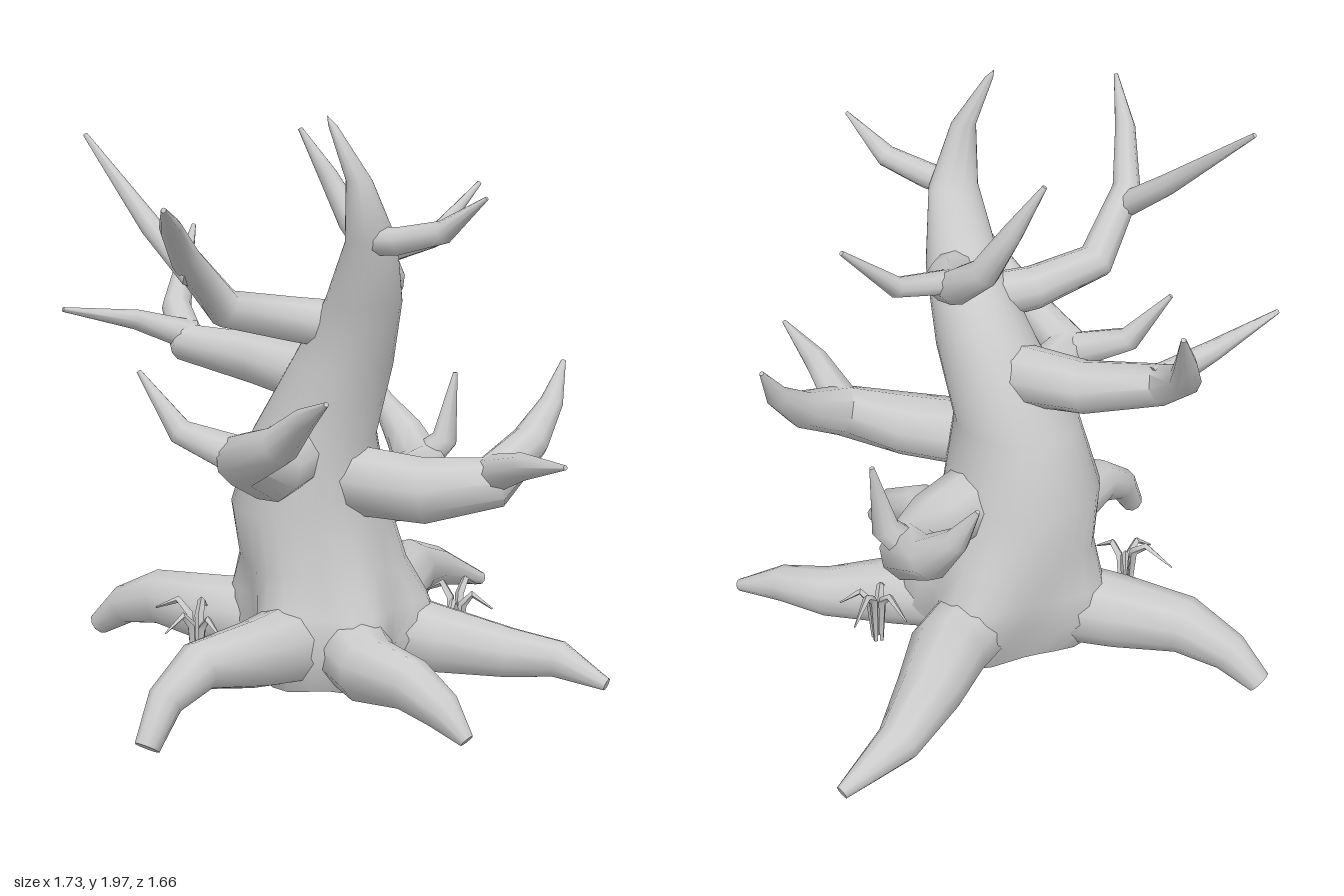
import * as THREE from 'three';
import { toCreasedNormals } from 'three/addons/utils/BufferGeometryUtils.js';

const material = new THREE.MeshStandardMaterial({ color: 0xcccccc, side: THREE.DoubleSide });
const V = (x, y, z) => new THREE.Vector3(x, y, z);

// Skin a row of equal-sized rings and close both ends on the given centres
function loft(rings, startCentre, endCentre) {
  const n = rings[0].length, pos = [], idx = [];
  rings.flat().forEach(p => pos.push(p.x, p.y, p.z));
  const last = (rings.length - 1) * n, c0 = rings.length * n;
  [startCentre, endCentre].forEach(p => pos.push(p.x, p.y, p.z));
  for (let j = 0; j < n; j++) {
    const k = (j + 1) % n;
    for (let i = 0; i < last; i += n) {
      idx.push(i + j, i + k, i + n + k, i + j, i + n + k, i + n + j);
    }
    idx.push(c0, k, j, c0 + 1, last + j, last + k);
  }
  const g = new THREE.BufferGeometry();
  g.setAttribute('position', new THREE.Float32BufferAttribute(pos, 3));
  g.setIndex(idx);
  return toCreasedNormals(g, 1.05);
}

// Tapered limb along rows of [x, y, z, radius], rings square to the path
function limb(name, rows, sides = 9) {
  const pts = rows.map(r => V(r[0], r[1], r[2]));
  const u = V(0, 1, 0), v = V(0, 0, 0);
  const rings = pts.map((p, i) => {
    const before = pts[Math.max(i - 1, 0)], after = pts[Math.min(i + 1, pts.length - 1)];
    const t = after.clone().sub(p).normalize().add(p.clone().sub(before).normalize()).normalize();
    u.addScaledVector(t, -u.dot(t)).normalize();
    v.crossVectors(t, u);
    return Array.from({ length: sides }, (_, j) => {
      const a = (j / sides) * Math.PI * 2;
      return p.clone().addScaledVector(u, rows[i][3] * Math.cos(a)).addScaledVector(v, rows[i][3] * Math.sin(a));
    });
  });
  const mesh = new THREE.Mesh(loft(rings, pts[0], pts[pts.length - 1]), material);
  mesh.name = name;
  return mesh;
}

// Leaning trunk from level oval sections [y, centre x, centre z, half width, half depth, flare];
// the flare pushes the wall out towards each root, the first section hollows the underside
function trunk() {
  const sections = [
    [0.14, 0, -0.05, 0.13, 0.13, 0],
    [0.06, 0, -0.05, 0.23, 0.23, 0.09], [0.2, 0, -0.06, 0.255, 0.265, 0.15], [0.32, 0, -0.07, 0.265, 0.28, 0.09],
    [0.45, -0.02, -0.07, 0.27, 0.28, 0.025],
    [0.65, -0.06, -0.07, 0.27, 0.275, 0], [0.9, -0.05, -0.04, 0.21, 0.235, 0], [1.15, 0.03, 0.03, 0.17, 0.195, 0],
    [1.38, 0.07, 0.16, 0.125, 0.155, 0], [1.6, 0.05, 0.335, 0.085, 0.06, 0],
    [1.8, 0, 0.375, 0.042, 0.042, 0], [1.97, -0.075, 0.33, 0.014, 0.014, 0]
  ];
  const rootAngles = [-0.72, 0.1, 1.2, 2.36, -2.22];
  const sides = 28;
  const rings = sections.map(([y, cx, cz, rx, rz, flare]) => Array.from({ length: sides }, (_, j) => {
    const a = (j / sides) * Math.PI * 2;
    const push = flare * Math.max(...rootAngles.map(r => Math.exp((Math.cos(a - r) - 1) * 10)));
    return V(cx + (rx + push) * Math.sin(a), y, cz + (rz + push) * Math.cos(a));
  }));
  const mesh = new THREE.Mesh(loft(rings, V(0, 0.16, -0.05), V(-0.09, 2, 0.32)), material);
  mesh.name = 'trunk';
  return mesh;
}

const branches = {
  lowerLeftFrontBranch: [
    [[0.05, 0.76, 0.1, 0.12], [0.26, 0.75, 0.26, 0.112], [0.46, 0.79, 0.35, 0.09], [0.63, 0.89, 0.23, 0.065], [0.73, 1, 0.15, 0.04], [0.79, 1.13, 0.09, 0.008]],
    [[0.46, 0.82, 0.36, 0.065], [0.5, 0.89, 0.55, 0.045], [0.56, 0.94, 0.78, 0.008]]],
  lowerLeftBackBranch: [
    [[0.1, 0.65, -0.1, 0.12], [0.3, 0.63, -0.22, 0.115], [0.43, 0.65, -0.38, 0.1], [0.41, 0.74, -0.56, 0.075], [0.35, 0.85, -0.65, 0.042], [0.3, 0.98, -0.71, 0.008]],
    [[0.43, 0.68, -0.4, 0.06], [0.51, 0.76, -0.38, 0.047], [0.55, 1, -0.39, 0.008]]],
  lowerRightFrontBranch: [
    [[-0.16, 0.86, 0.1, 0.115], [-0.26, 0.85, 0.23, 0.115], [-0.37, 0.91, 0.34, 0.09], [-0.29, 1, 0.53, 0.065], [-0.24, 1.11, 0.66, 0.038], [-0.21, 1.19, 0.82, 0.008]],
    [[-0.37, 0.91, 0.3, 0.07], [-0.55, 0.98, 0.2, 0.045], [-0.67, 1.17, 0.12, 0.008]]],
  middleRightBackBranch: [
    [[0, 1.08, -0.05, 0.11], [-0.2, 1.11, -0.29, 0.09], [-0.42, 1.15, -0.42, 0.07], [-0.43, 1.25, -0.58, 0.053], [-0.39, 1.36, -0.67, 0.036], [-0.33, 1.51, -0.78, 0.008]],
    [[-0.4, 1.17, -0.43, 0.055], [-0.6, 1.24, -0.41, 0.035], [-0.86, 1.3, -0.33, 0.008]]],
  upperRightBranch: [
    [[0.05, 1.28, 0.1, 0.085], [-0.15, 1.31, 0.07, 0.075], [-0.38, 1.36, 0.1, 0.065], [-0.53, 1.55, 0.22, 0.05], [-0.61, 1.68, 0.45, 0.036], [-0.67, 1.77, 0.7, 0.008]],
    [[-0.5, 1.49, 0.21, 0.045], [-0.61, 1.63, 0.05, 0.036], [-0.78, 1.9, -0.24, 0.008]]],
  upperLeftBackBranch: [
    [[0.1, 1.38, 0.14, 0.075], [0.18, 1.42, 0, 0.072], [0.2, 1.48, -0.17, 0.06], [0.14, 1.58, -0.29, 0.05], [0.07, 1.73, -0.35, 0.034], [-0.02, 1.89, -0.39, 0.008]],
    [[0.18, 1.48, -0.13, 0.045], [0.4, 1.52, -0.19, 0.035], [0.59, 1.7, -0.26, 0.008]]],
  topFrontBranch: [
    [[0.05, 1.6, 0.34, 0.045], [0.12, 1.61, 0.42, 0.045], [0.23, 1.65, 0.53, 0.038], [0.33, 1.77, 0.66, 0.006]]]
};

const roots = {
  rightFrontRoot: [[-0.17, 0.21, 0.13, 0.14], [-0.33, 0.24, 0.3, 0.115], [-0.54, 0.26, 0.43, 0.083], [-0.66, 0.18, 0.5, 0.06], [-0.73, 0.05, 0.56, 0.042]],
  frontRoot: [[0.02, 0.2, 0.15, 0.14], [0.04, 0.18, 0.38, 0.115], [0.13, 0.19, 0.57, 0.088], [0.2, 0.14, 0.69, 0.065], [0.26, 0.06, 0.76, 0.025]],
  leftFrontRoot: [[0.19, 0.2, 0.01, 0.14], [0.36, 0.17, 0.1, 0.12], [0.58, 0.14, 0.21, 0.088], [0.72, 0.14, 0.31, 0.065], [0.85, 0.08, 0.43, 0.022]],
  leftBackRoot: [[0.16, 0.21, -0.22, 0.14], [0.3, 0.21, -0.36, 0.135], [0.43, 0.22, -0.57, 0.11], [0.58, 0.17, -0.73, 0.075], [0.79, 0.08, -0.81, 0.024]],
  rightBackRoot: [[-0.17, 0.2, -0.18, 0.14], [-0.34, 0.2, -0.31, 0.128], [-0.52, 0.21, -0.47, 0.1], [-0.64, 0.15, -0.59, 0.07], [-0.72, 0.06, -0.67, 0.042]]
};

export function createModel() {
  const model = new THREE.Group();
  model.name = 'bareTree';
  model.add(trunk());

  // Each branch is a main limb with an optional fork
  for (const [name, [main, fork]] of Object.entries(branches)) {
    const group = new THREE.Group();
    group.name = name;
    group.add(limb('mainLimb', main));
    if (fork) group.add(limb('fork', fork, 8));
    model.add(group);
  }
  for (const [name, rows] of Object.entries(roots)) model.add(limb(name, rows, 10));

  // Drooping grass blades in a tuft on each side: [reach x, reach z, height]
  for (const side of [-1, 1]) {
    const tuft = new THREE.Group();
    tuft.name = side > 0 ? 'leftGrassTuft' : 'rightGrassTuft';
    for (const [dx, dz, top] of [[0.12, -0.15, 0.31], [-0.06, -0.16, 0.3], [0.12, 0.05, 0.28], [-0.06, 0.12, 0.27]]) {
      const at = (f, y, r) => [side * (0.46 + dx * f), y, -0.05 + dz * f, r];
      tuft.add(limb('grassBlade', [at(0.12, 0.09, 0.008), at(0.18, top - 0.04, 0.016), at(0.45, top, 0.013), at(1, top - 0.05, 0.003)], 4));
    }
    model.add(tuft);
  }
  return model;
}
